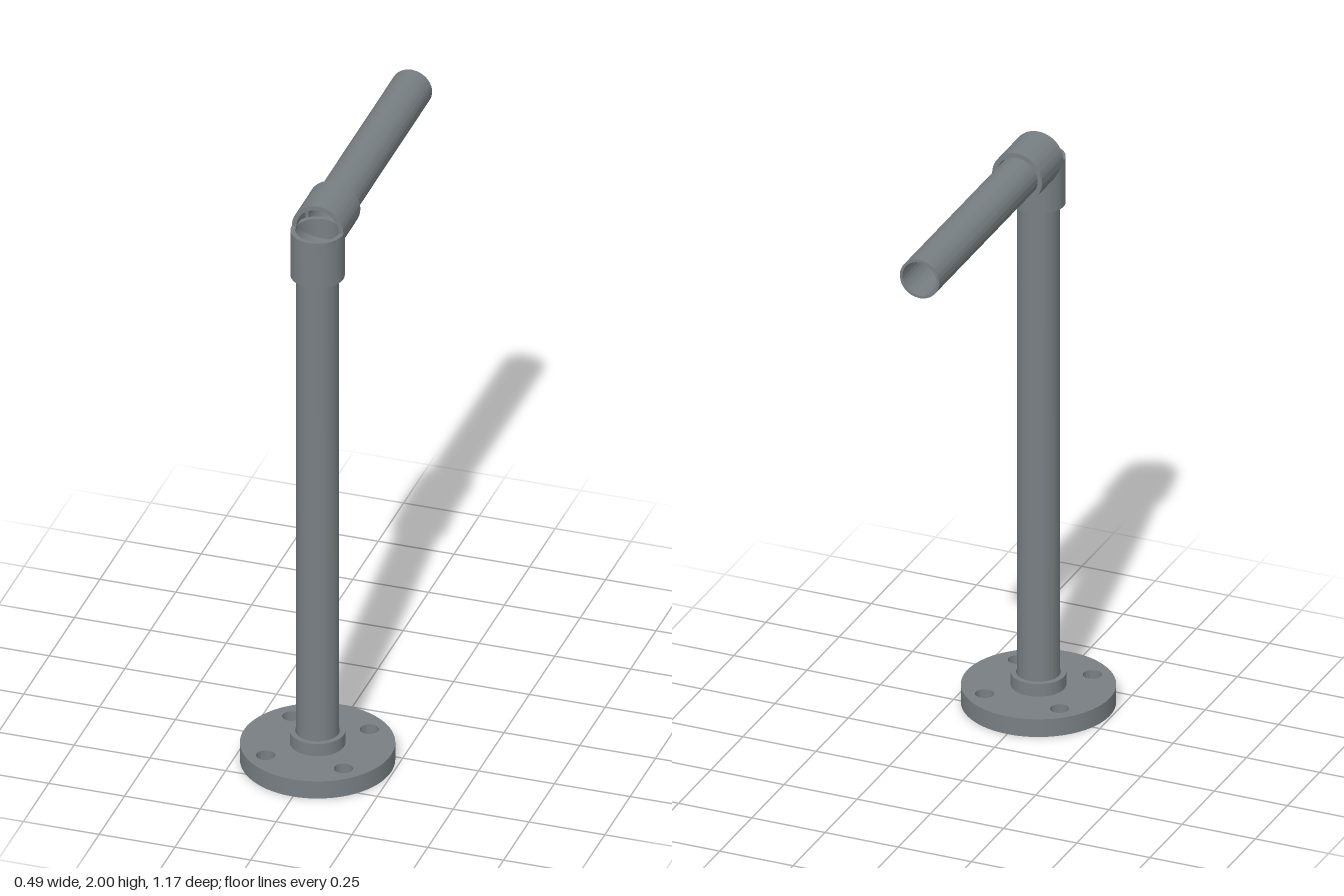
import * as THREE from 'three';
import { toCreasedNormals } from 'three/addons/utils/BufferGeometryUtils.js';

const STAND_Z = 0.342;   // axis of the upright
const ARM_Y = 1.917;     // axis of the horizontal arm
const PIPE = { outer: 0.067, inner: 0.058 };
const SLEEVE = { outer: 0.085, inner: 0.07 };

export function createModel() {
  const group = new THREE.Group();
  const steel = new THREE.MeshStandardMaterial({ color: 0x787f83 });
  steel.name = 'grey steel';

  const add = (name, geometry) => {
    const mesh = new THREE.Mesh(toCreasedNormals(geometry, 0.6), steel);
    mesh.name = name;
    group.add(mesh);
    return mesh;
  };

  // Hollow cylinder along +y, from height a to height b
  const tube = ({ outer, inner }, a, b) => new THREE.LatheGeometry([
    [outer, a], [outer, b], [inner, b], [inner, a], [outer, a],
  ].map(([r, y]) => new THREE.Vector2(r, y)), 64);

  const upright = (name, size, a, b) => {
    add(name, tube(size, a, b)).position.z = STAND_Z;
  };
  // Arm parts run along z, from a to b
  const level = (name, size, a, b) => {
    const mesh = add(name, tube(size, a, b));
    mesh.rotation.x = Math.PI / 2;
    mesh.position.y = ARM_Y;
  };

  // Round base flange with a centre bore and four bolt holes
  const disc = new THREE.Shape().absarc(0, 0, 0.243, 0, Math.PI * 2, false);
  const hole = (x, y, r) =>
    disc.holes.push(new THREE.Path().absarc(x, y, r, 0, Math.PI * 2, true));
  hole(0, 0, PIPE.inner);
  for (const x of [-0.128, 0.128]) for (const y of [-0.128, 0.128]) hole(x, y, 0.03);
  const flange = new THREE.ExtrudeGeometry(disc, {
    depth: 0.062, bevelEnabled: false, curveSegments: 48,
  });
  flange.rotateX(-Math.PI / 2);
  add('baseFlange', flange).position.z = STAND_Z;
  upright('flangeCollar', { outer: 0.087, inner: 0.07 }, 0.062, 0.106);

  // Upright and arm pipes
  upright('uprightPipe', PIPE, 0.062, 1.835);
  level('armPipe', PIPE, -0.585, 0.26);

  // Open elbow made of two crossing sleeves
  upright('elbowLowerSleeve', SLEEVE, 1.755, ARM_Y);
  level('elbowArmSleeve', SLEEVE, 0.175, STAND_Z);

  return group;
}
